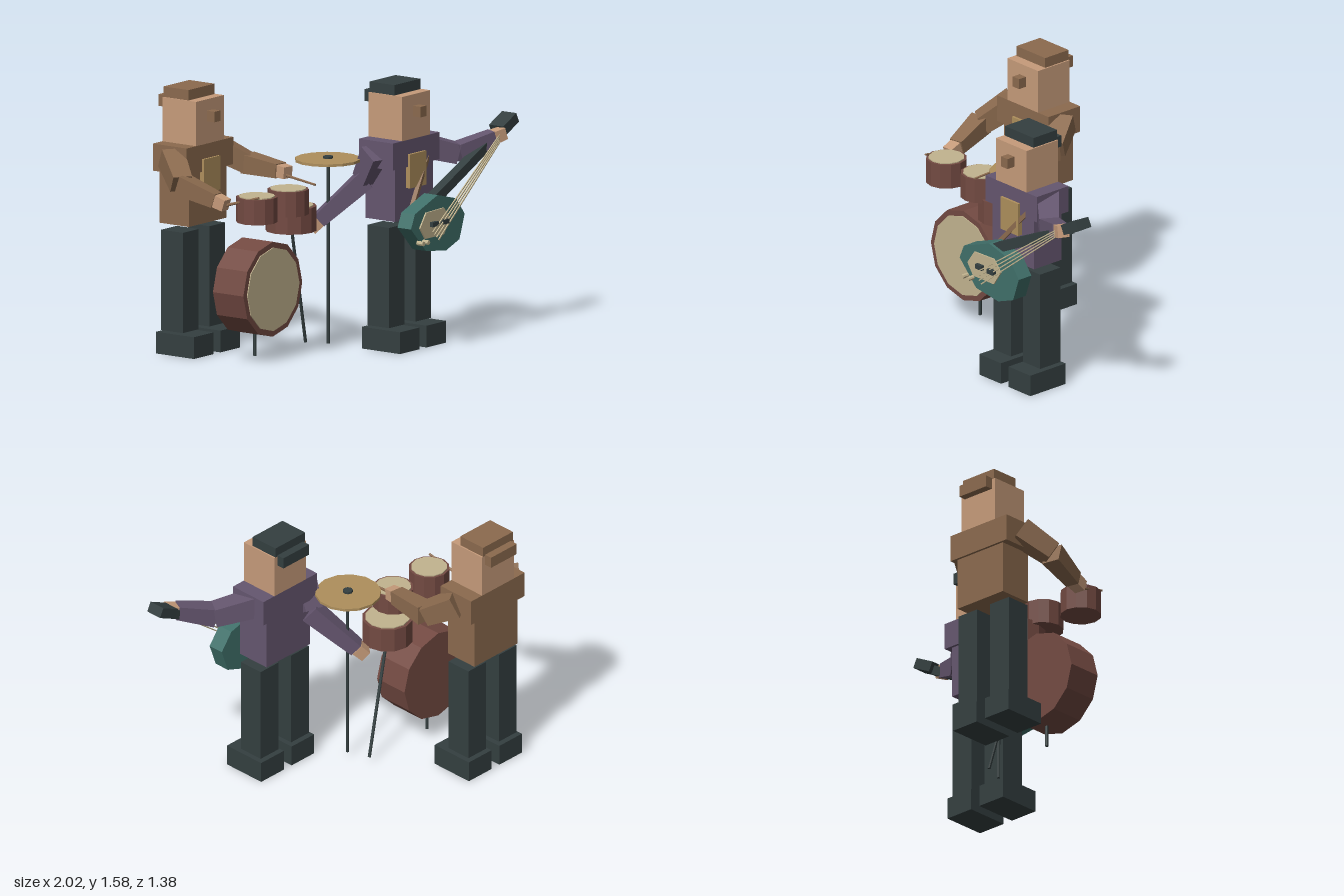
import * as THREE from 'three';

const mat = (name, color) => {
  const m = new THREE.MeshStandardMaterial({ color, flatShading: true });
  m.name = name;
  return m;
};

export function createModel() {
  const root = new THREE.Group();
  root.name = 'band';
  const M = {
    skin: mat('skin', 0xc69b7a), brown: mat('brown', 0x8b6a4e), purple: mat('purple', 0x65566f),
    dark: mat('charcoal', 0x343f40), teal: mat('teal', 0x40706a), cream: mat('cream', 0xc2b48f),
    gold: mat('gold', 0xae8f5c), maroon: mat('maroon', 0x734a42),
  };

  const add = (parent, name, geo, material, x = 0, y = 0, z = 0) => {
    const mesh = new THREE.Mesh(geo, material);
    mesh.name = name;
    mesh.position.set(x, y, z);
    parent.add(mesh);
    return mesh;
  };
  const group = (name) => {
    const g = new THREE.Group();
    g.name = name;
    root.add(g);
    return g;
  };
  const box = (parent, name, material, w, h, d, x, y, z) =>
    add(parent, name, new THREE.BoxGeometry(w, h, d), material, x, y, z);

  // Tapered bar between two points: square when sides = 4, otherwise a round rod
  const bar = (parent, name, material, a, b, wa, wb, sides = 4) => {
    const A = new THREE.Vector3(...a), B = new THREE.Vector3(...b);
    const k = sides === 4 ? Math.SQRT1_2 : 0.5;
    const geo = new THREE.CylinderGeometry(wb * k, wa * k, A.distanceTo(B), sides);
    if (sides === 4) geo.rotateY(Math.PI / 4);
    geo.rotateX(Math.PI / 2);
    const mid = A.clone().add(B).multiplyScalar(0.5);
    const mesh = add(parent, name, geo, material, mid.x, mid.y, mid.z);
    mesh.lookAt(B);
    return mesh;
  };

  // Block figure without arms, centred on cx, cz
  const person = (name, cx, cz, shirt, hair) => {
    const g = group(name);
    const part = (n, m, w, h, d, x, y, z) => box(g, n, m, w, h, d, cx + x, y, cz + z);
    part('head', M.skin, 0.268, 0.265, 0.25, 0, 1.385, 0);
    part('nose', M.brown, 0.056, 0.063, 0.06, 0, 1.417, 0.15);
    part('hairTop', hair, 0.25, 0.063, 0.186, 0, 1.548, -0.032);
    part('hairBack', hair, 0.215, 0.07, 0.05, 0, 1.49, -0.149);
    part('chest', shirt, 0.45, 0.162, 0.25, 0, 1.172, 0);
    part('waist', shirt, 0.363, 0.32, 0.218, 0, 0.935, 0);
    part('shirtFront', M.gold, 0.156, 0.203, 0.034, 0, 1.065, 0.124);
    for (const s of [-1, 1]) {
      part('leg', M.dark, 0.15, 0.6, 0.161, s * 0.128, 0.44, 0);
      part('shoe', M.dark, 0.19, 0.13, 0.28, s * 0.128, 0.065, 0.036);
    }
    return g;
  };

  // Arm with shoulder, elbow, wrist and hand
  const arm = (g, side, material, shoulder, elbow, wrist, hand) => {
    bar(g, side + 'UpperArm', material, shoulder, elbow, 0.135, 0.115);
    bar(g, side + 'Forearm', material, elbow, wrist, 0.115, 0.085);
    bar(g, side + 'Hand', M.skin, wrist, hand, 0.075, 0.07);
  };

  // Drummer with sticks
  const drummer = person('drummer', -0.626, -0.52, M.brown, M.brown);
  arm(drummer, 'right', M.brown, [-0.84, 1.185, -0.52], [-0.95, 1.06, -0.36], [-0.91, 0.985, -0.13], [-0.905, 0.962, -0.06]);
  arm(drummer, 'left', M.brown, [-0.41, 1.185, -0.52], [-0.31, 1.09, -0.36], [-0.342, 1.08, -0.09], [-0.35, 1.075, -0.03]);
  bar(drummer, 'rightStick', M.brown, [-0.9, 0.95, -0.1], [-0.87, 1.025, 0.155], 0.018, 0.014, 6);
  bar(drummer, 'leftStick', M.brown, [-0.35, 1.07, -0.14], [-0.386, 1.035, 0.2], 0.018, 0.014, 6);

  // Guitarist with strap
  const guitarist = person('guitarist', 0.23, 0.348, M.purple, M.dark);
  arm(guitarist, 'left', M.purple, [0.39, 1.18, 0.33], [0.59, 1.11, 0.5], [0.8, 1.185, 0.605], [0.865, 1.205, 0.635]);
  arm(guitarist, 'right', M.purple, [0.02, 1.18, 0.34], [0.045, 1.01, 0.24], [-0.13, 0.765, 0.03], [-0.17, 0.715, -0.005]);
  bar(guitarist, 'strap', M.brown, [0.39, 1.16, 0.45], [0.06, 0.765, 0.535], 0.026, 0.026);

  // Guitar body and plate, extruded forward from z
  const guitar = group('guitar');
  const slab = (name, material, pts, depth, z) => {
    const shape = new THREE.Shape(pts.map((p) => new THREE.Vector2(...p)));
    add(guitar, name, new THREE.ExtrudeGeometry(shape, { depth, bevelEnabled: false }), material, 0, 0, z);
  };
  slab('guitarBody', M.teal, [[-0.037, 0.765], [0.107, 0.615], [0.3, 0.588], [0.43, 0.636],
    [0.48, 0.78], [0.4, 0.885], [0.22, 0.932], [0, 0.85]], 0.1, 0.54);
  slab('guitarPlate', M.cream, [[0.04, 0.76], [0.09, 0.69], [0.27, 0.69], [0.33, 0.78],
    [0.27, 0.85], [0.1, 0.845]], 0.009, 0.64);
  for (const x of [0.16, 0.262]) box(guitar, 'pickup', M.dark, 0.056, 0.028, 0.026, x, 0.77, 0.66);
  for (const x of [0.03, 0.08]) {
    const knob = new THREE.CylinderGeometry(0.014, 0.014, 0.045, 8).rotateX(Math.PI / 2);
    add(guitar, 'knob', knob, M.cream, x, 0.674, 0.66);
  }

  // Neck, headstock and strings
  bar(guitar, 'neck', M.dark, [0.22, 0.89, 0.59], [0.87, 1.205, 0.59], 0.062, 0.055);
  box(guitar, 'headstock', M.dark, 0.14, 0.062, 0.105, 0.925, 1.247, 0.59).rotation.z = 0.46;
  for (let i = 0; i < 4; i++) {
    const t = i - 1.5;
    bar(guitar, 'string', M.cream, [0.16 - t * 0.018, 0.7 + t * 0.018, 0.672],
      [0.83 - t * 0.006, 1.195 + t * 0.009, 0.645], 0.007, 0.007);
  }

  // Drums
  const kit = group('drumKit');
  const drum = (name, r, h, x, y, z) => {
    const g = new THREE.Group();
    g.name = name;
    add(g, 'shell', new THREE.CylinderGeometry(r, r, h, 12), M.maroon);
    add(g, 'skin', new THREE.CylinderGeometry(r * 0.88, r * 0.88, 0.008, 12), M.cream, 0, h / 2 + 0.002, 0);
    g.position.set(x, y, z);
    kit.add(g);
    return g;
  };
  drum('bassDrum', 0.284, 0.225, -0.63, 0.433, -0.04).rotation.x = Math.PI / 2;
  drum('rightTom', 0.122, 0.15, -0.781, 0.936, 0.07);
  drum('leftTom', 0.122, 0.15, -0.478, 0.936, 0.07);
  drum('floorTom', 0.152, 0.148, -0.36, 0.811, 0);
  bar(kit, 'bassDrumFoot', M.dark, [-0.63, 0.02, -0.06], [-0.63, 0.17, -0.06], 0.02, 0.02, 8);
  bar(kit, 'floorTomLeg', M.dark, [-0.36, 0.74, 0.005], [-0.155, 0.03, -0.05], 0.02, 0.02, 8);

  // Cymbal on its stand
  bar(kit, 'cymbalStand', M.dark, [-0.108, 0.03, 0.083], [-0.108, 1.14, 0.083], 0.02, 0.02, 8);
  add(kit, 'cymbal', new THREE.CylinderGeometry(0.195, 0.195, 0.016, 14), M.gold, -0.108, 1.129, 0.078);
  add(kit, 'cymbalCap', new THREE.CylinderGeometry(0.03, 0.03, 0.014, 8), M.dark, -0.108, 1.143, 0.08);

  return root;
}
